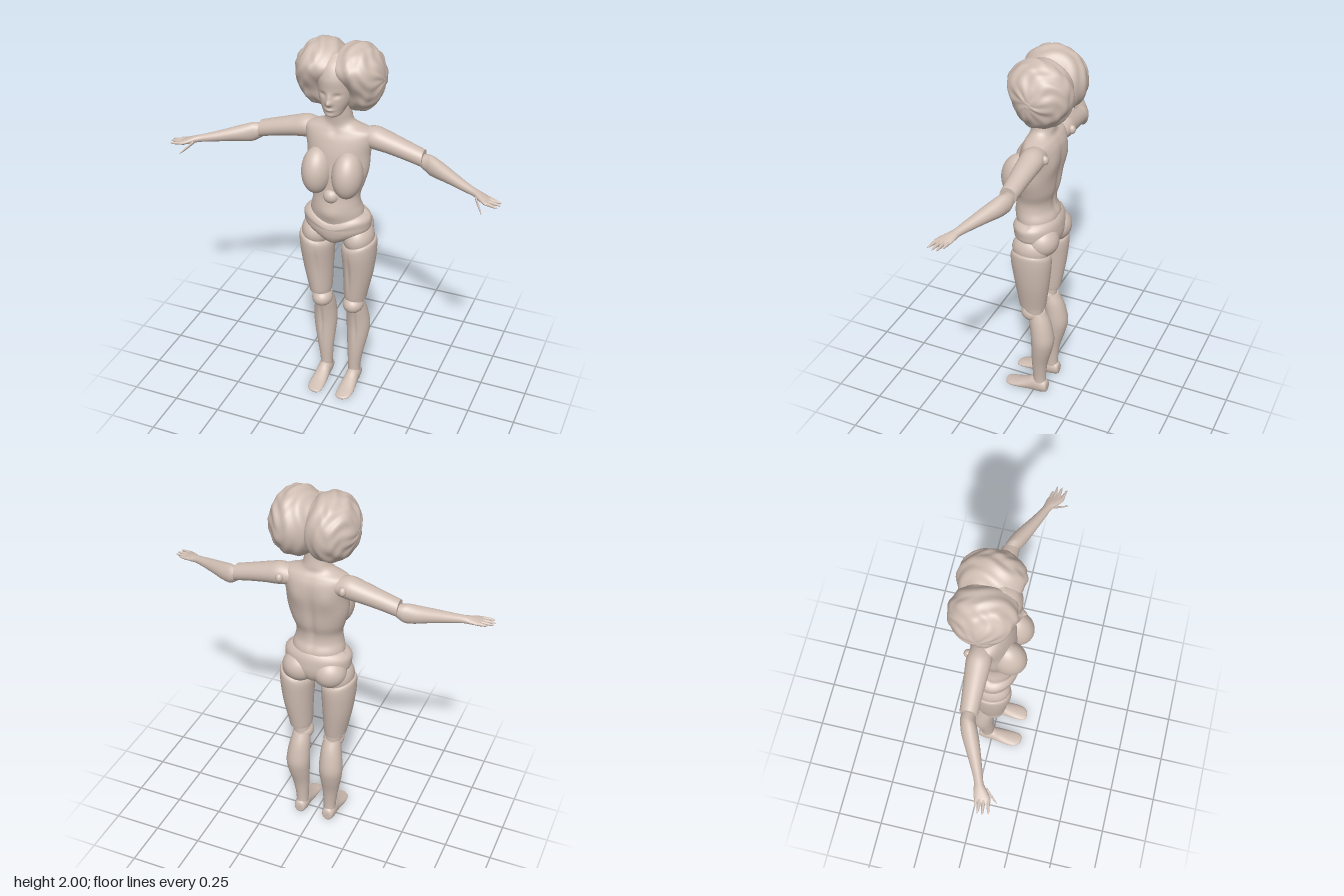
import * as THREE from 'three';
import { mergeVertices } from 'three/addons/utils/BufferGeometryUtils.js';

const AXES = { x: ['x', 'y', 'z'], y: ['y', 'z', 'x'], z: ['z', 'x', 'y'] };
const smooth = THREE.MathUtils.smoothstep;

// Catmull-Rom blend of one column of the section rows
function blend(rows, u, k) {
  const i = Math.min(Math.floor(u), rows.length - 2), t = u - i;
  const at = (n) => rows[THREE.MathUtils.clamp(n, 0, rows.length - 1)][k];
  const [p, q, r, s] = [at(i - 1), at(i), at(i + 1), at(i + 2)];
  return q + 0.5 * t * (r - p + t * (2 * p - 5 * q + 4 * r - s + t * (3 * (q - r) + s - p)));
}

// Skin through elliptical sections. Row: [position, centreA, centreB, radiusA, radiusB],
// A and B being the next two axes in x-y-z order. tweak moves each finished point.
function loft(axis, rows, { seg = 40, steps = 6, tweak } = {}) {
  const [T, A, B] = AXES[axis], pos = [], index = [], v = new THREE.Vector3();
  const n = (rows.length - 1) * steps;
  const add = () => { if (tweak) tweak(v); pos.push(v.x, v.y, v.z); };
  const ring = (i, r) => {
    const [t, ca, cb, ra, rb] = [0, 1, 2, 3, 4].map((k) => blend(rows, i / steps, k));
    for (let j = 0; j < (r ? seg : 1); j++) {
      const a = (j / seg) * Math.PI * 2;
      v[T] = t;
      v[A] = ca + r * ra * Math.cos(a);
      v[B] = cb + r * rb * Math.sin(a);
      add();
    }
  };
  for (let i = 0; i <= n; i++) ring(i, 1);
  for (let i = 0; i < n; i++) for (let j = 0; j < seg; j++) {
    const a = i * seg + j, b = i * seg + (j + 1) % seg;
    index.push(a, b, b + seg, a, b + seg, a + seg);
  }
  for (const end of [0, n]) { // crisp end caps
    const s = pos.length / 3;
    ring(end, 1);
    ring(end, 0);
    for (let j = 0; j < seg; j++) {
      const a = s + j, b = s + (j + 1) % seg;
      index.push(s + seg, ...(end ? [a, b] : [b, a]));
    }
  }
  const g = new THREE.BufferGeometry();
  g.setAttribute('position', new THREE.Float32BufferAttribute(pos, 3));
  g.setIndex(index);
  g.computeVertexNormals();
  return g;
}

// Soft swellings and hollows along z: [x, y, widthX, widthY, height, side]
const bumps = (list) => (v) => {
  const z0 = v.z;
  for (const [x, y, sx, sy, h, side] of list)
    if (z0 * side > 0) v.z += side * h * Math.exp(-(((v.x - x) / sx) ** 2) - ((v.y - y) / sy) ** 2);
};

function blob(x, y, z, rx, ry, rz, tilt = 0) {
  return new THREE.SphereGeometry(1, 40, 28).scale(rx, ry, rz).rotateX(tilt).translate(x, y, z);
}

function mirrored(geo) {
  const g = geo.clone().scale(-1, 1, 1);
  g.setIndex(Array.from(g.index.array).reverse());
  return g;
}

// One rounded half of the hair, with wavy strands running from the parting
function hairLobe() {
  let g = new THREE.SphereGeometry(1, 110, 84);
  g.deleteAttribute('uv');
  g.deleteAttribute('normal');
  g = mergeVertices(g, 1e-4);
  const p = g.attributes.position, v = new THREE.Vector3();
  for (let i = 0; i < p.count; i++) {
    v.fromBufferAttribute(p, i);
    const around = Math.atan2(v.z, v.y);
    const wave = Math.sin(13 * v.x + 2.2 * Math.sin(3 * around) + 1)
      + 0.7 * Math.sin(11 * around + 3 * Math.sin(6 * v.x)) * smooth(v.x, -0.3, 0.3);
    v.multiplyScalar(1 + 0.016 * wave);
    // the lower front falls back to leave the face open
    if (v.z > 0) v.z *= 1 - 0.55 * (1 - smooth(v.y, -0.45, 0.55)) * (1 - 0.5 * smooth(v.x, -0.4, 0.5));
    p.setXYZ(i, 0.085 + v.x * 0.138, 1.828 + v.y * 0.17, -0.03 + v.z * 0.168);
  }
  g.computeVertexNormals();
  return g;
}

export function createModel() {
  const model = new THREE.Group();
  const clay = new THREE.MeshStandardMaterial({ color: 0xd0beb3 });
  const part = (name, geo) => {
    const m = new THREE.Mesh(geo, clay);
    m.name = name;
    model.add(m);
  };
  const pair = (name, geo) => {
    part('left' + name, geo);
    part('right' + name, mirrored(geo));
  };

  // Head with nose, lips, chin and eye hollows
  part('head', loft('y', [
    [1.655, 0.075, 0, 0.018, 0.018], [1.67, 0.066, 0, 0.046, 0.042], [1.7, 0.045, 0, 0.073, 0.06],
    [1.74, 0.028, 0, 0.094, 0.078], [1.8, 0.018, 0, 0.104, 0.09], [1.86, 0.01, 0, 0.112, 0.094],
    [1.92, 0, 0, 0.095, 0.08], [1.96, 0, 0, 0.04, 0.03],
  ], { seg: 80, steps: 12, tweak: bumps([
    [0, 1.74, 0.014, 0.014, 0.022, 1], [0, 1.765, 0.011, 0.02, 0.01, 1], [0, 1.704, 0.022, 0.008, 0.008, 1],
    [0.036, 1.778, 0.018, 0.012, -0.009, 1], [-0.036, 1.778, 0.018, 0.012, -0.009, 1],
    [0, 1.672, 0.022, 0.012, 0.005, 1],
  ]) }));
  pair('Hair', hairLobe());

  // Torso and neck, with a spine hollow and shoulder blades
  part('torso', loft('y', [
    [1.05, 0.01, 0, 0.1, 0.14], [1.12, 0.012, 0, 0.108, 0.138], [1.17, 0.022, 0, 0.098, 0.125],
    [1.22, 0.02, 0, 0.094, 0.122], [1.28, 0.01, 0, 0.1, 0.14], [1.36, 0.003, 0, 0.103, 0.16],
    [1.45, -0.008, 0, 0.105, 0.164], [1.52, -0.016, 0, 0.094, 0.178], [1.56, -0.018, 0, 0.076, 0.172],
    [1.585, -0.015, 0, 0.061, 0.105], [1.61, -0.013, 0, 0.058, 0.072], [1.66, -0.006, 0, 0.056, 0.065],
    [1.73, 0, 0, 0.056, 0.062],
  ], { seg: 72, tweak: bumps([
    [0, 1.32, 0.02, 0.17, -0.012, -1], [0.085, 1.45, 0.04, 0.06, 0.009, -1], [-0.085, 1.45, 0.04, 0.06, 0.009, -1],
    [0, 1.13, 0.06, 0.04, 0.01, 1], [0, 1.56, 0.02, 0.02, -0.006, 1],
  ]) }));
  pair('Breast', blob(0.08, 1.352, 0.082, 0.077, 0.122, 0.09, -0.16));
  part('midriffJoint', blob(0, 1.228, 0.095, 0.042, 0.04, 0.04));
  pair('ShoulderPeg', blob(0.165, 1.525, -0.093, 0.019, 0.024, 0.02));

  // Pelvis, dipping at the front waist and narrowing to the crotch
  part('pelvis', loft('y', [
    [0.925, 0.005, 0, 0.04, 0.02], [0.95, 0.005, 0, 0.09, 0.06], [0.985, 0.005, 0, 0.114, 0.12],
    [1.02, 0.005, 0, 0.122, 0.168], [1.055, 0.006, 0, 0.122, 0.177], [1.09, 0.01, 0, 0.12, 0.175],
    [1.115, 0.012, 0, 0.108, 0.15], [1.12, 0.012, 0, 0.09, 0.13],
  ], { seg: 64, tweak: (v) => {
    if (v.z > 0) v.y -= 0.045 * Math.exp(-((v.x / 0.1) ** 2)) * smooth(v.y, 1.03, 1.1);
  } }));
  pair('Buttock', blob(0.082, 1.005, -0.045, 0.09, 0.085, 0.085));
  pair('HipJoint', blob(0.112, 0.965, 0.004, 0.08, 0.085, 0.1));

  // Legs: slanted thigh shell, knee ball, calf and flat-soled foot
  const thighSeam = bumps([[0.088, 0.78, 0.009, 0.11, -0.008, 1]]);
  pair('Thigh', loft('y', [
    [0.592, 0.003, 0.099, 0.07, 0.058], [0.62, 0.003, 0.1, 0.075, 0.062], [0.75, 0, 0.111, 0.092, 0.078],
    [0.86, 0.002, 0.115, 0.105, 0.088], [0.93, 0.003, 0.116, 0.107, 0.09], [0.955, 0.003, 0.117, 0.1, 0.085],
    [0.96, 0.003, 0.117, 0.09, 0.076],
  ], { seg: 72, tweak: (v) => {
    thighSeam(v);
    v.y -= (0.2 - v.x) * 0.25 * smooth(v.y, 0.82, 0.96);
  } }));
  pair('KneeBall', blob(0.088, 0.538, 0.01, 0.055, 0.05, 0.06));
  pair('KneeNeck', loft('y', [[0.53, 0, 0.09, 0.05, 0.046], [0.62, 0, 0.098, 0.05, 0.046]]));
  const calfSeam = bumps([[0.097, 0.38, 0.008, 0.1, -0.008, 1]]);
  pair('Calf', loft('y', [
    [0.03, -0.03, 0.083, 0.037, 0.033], [0.1, -0.028, 0.082, 0.036, 0.034], [0.2, -0.032, 0.087, 0.043, 0.044],
    [0.3, -0.046, 0.093, 0.056, 0.058], [0.37, -0.052, 0.095, 0.062, 0.064], [0.44, -0.044, 0.093, 0.06, 0.06],
    [0.5, -0.03, 0.09, 0.056, 0.053], [0.55, -0.015, 0.089, 0.045, 0.043],
  ], { seg: 64, tweak: calfSeam }));
  pair('Foot', loft('z', [
    [-0.076, 0.083, 0.028, 0.015, 0.018], [-0.068, 0.083, 0.035, 0.03, 0.035], [-0.03, 0.083, 0.04, 0.037, 0.05],
    [0.01, 0.083, 0.036, 0.037, 0.046], [0.05, 0.083, 0.025, 0.041, 0.034], [0.1, 0.084, 0.014, 0.044, 0.022],
    [0.145, 0.082, 0.008, 0.04, 0.013], [0.168, 0.077, 0.006, 0.024, 0.008], [0.173, 0.075, 0.005, 0.008, 0.004],
  ], { tweak: (v) => { v.y = Math.max(v.y, 0); } }));

  // Arms: sleeve-like upper arm, forearm running into the palm
  pair('UpperArm', loft('x', [
    [0.11, 1.52, -0.035, 0.045, 0.05], [0.18, 1.521, -0.036, 0.058, 0.06], [0.25, 1.508, -0.034, 0.053, 0.056],
    [0.35, 1.483, -0.03, 0.047, 0.048], [0.43, 1.461, -0.027, 0.044, 0.043],
  ]));
  pair('Forearm', loft('x', [
    [0.415, 1.45, -0.028, 0.03, 0.03], [0.45, 1.441, -0.025, 0.045, 0.036], [0.475, 1.436, -0.016, 0.05, 0.04],
    [0.52, 1.43, 0.002, 0.044, 0.042], [0.57, 1.424, 0.025, 0.036, 0.038], [0.65, 1.412, 0.062, 0.026, 0.029],
    [0.715, 1.403, 0.09, 0.019, 0.023], [0.75, 1.397, 0.107, 0.017, 0.032], [0.785, 1.391, 0.123, 0.012, 0.04],
    [0.81, 1.388, 0.13, 0.006, 0.032],
  ]));

  // Fingers: [root x, y, z, tip x, y, z]
  const fingers = [
    [0.775, 1.391, 0.094, 0.83, 1.386, 0.1], [0.785, 1.391, 0.113, 0.858, 1.387, 0.117],
    [0.785, 1.391, 0.131, 0.86, 1.387, 0.14], [0.78, 1.391, 0.149, 0.85, 1.386, 0.167],
    [0.735, 1.395, 0.125, 0.785, 1.35, 0.192],
  ];
  fingers.forEach(([x, y, z, X, Y, Z], i) => {
    const at = (t, r) => [x + (X - x) * t, y + (Y - y) * t, z + (Z - z) * t, r, r];
    pair(i < 4 ? 'Finger' + (i + 1) : 'Thumb',
      loft('x', [at(0, 0.01), at(0.5, 0.008), at(0.85, 0.005), at(1, 0.001)], { seg: 14, steps: 4 }));
  });
  return model;
}
